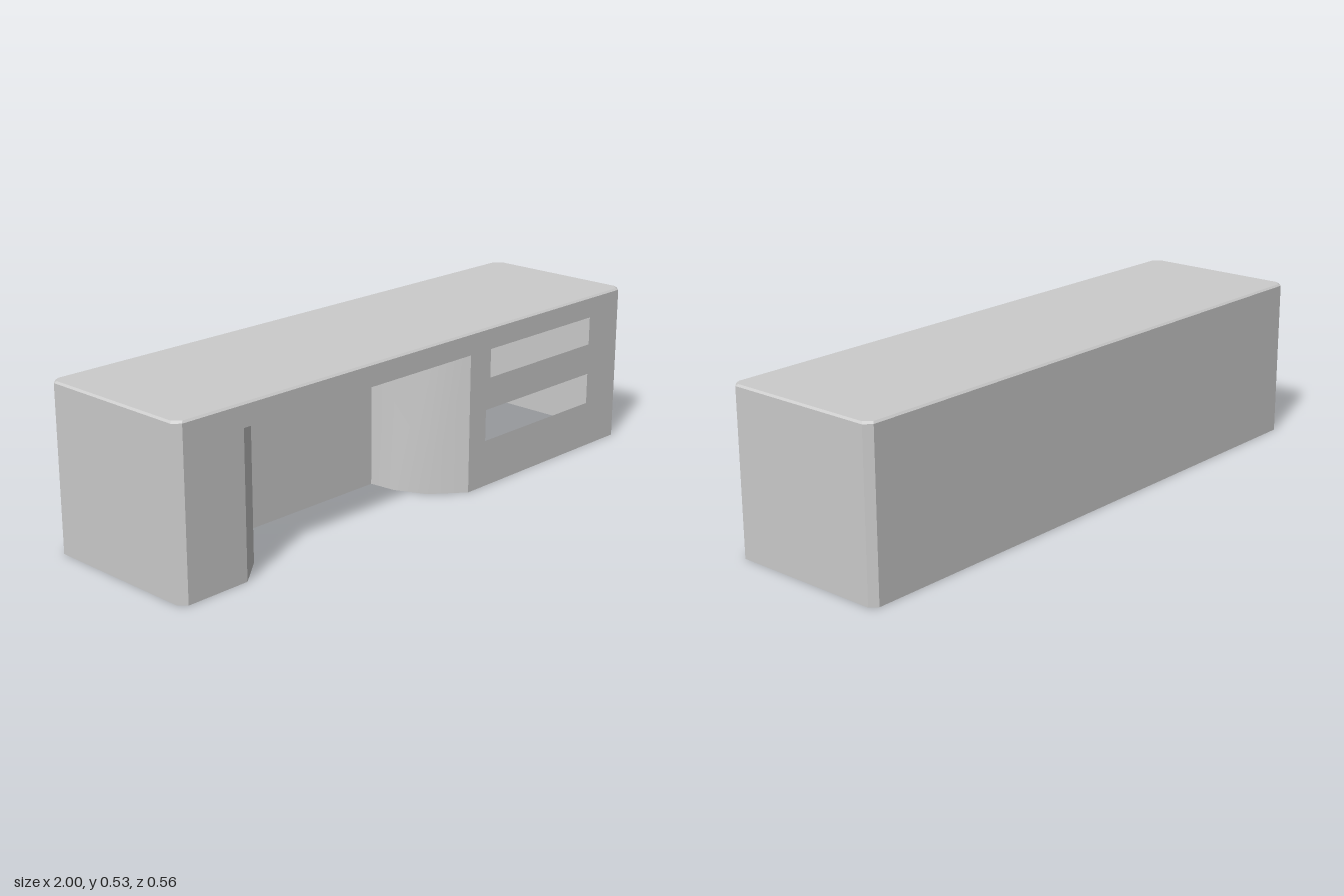
import * as THREE from 'three';

const W = 1, D = 0.278, TOP = 0.533, BEVEL = 0.006, CHAMFER = 0.022;
const WALL = TOP - BEVEL;      // height of the vertical walls
const RECESS_H = 0.46;         // height of the knee recess

const material = new THREE.MeshStandardMaterial({ color: 0xcccccc, side: THREE.DoubleSide });

function addMesh(group, name, geometry) {
  const mesh = new THREE.Mesh(geometry, material);
  mesh.name = name;
  group.add(mesh);
  return mesh;
}

// Chamfered rectangle in plan as [x, z], from front left round the back to front right
function outline(w, d, c) {
  return [
    [w - c, d], [w, d - c], [w, -d + c], [w - c, -d],
    [-w + c, -d], [-w, -d + c], [-w, d - c], [-w + c, d],
  ];
}

// Strip of quads between a lower and an upper row of [x, z] points
function strip(low, y0, high, y1, smooth = false) {
  const positions = [], index = [];
  low.forEach(([x, z], i) => {
    positions.push(x, y0, z, high[i][0], y1, high[i][1]);
    if (i < low.length - 1) {
      const a = 2 * i;
      index.push(a, a + 2, a + 3, a, a + 3, a + 1);
    }
  });
  let geometry = new THREE.BufferGeometry();
  geometry.setAttribute('position', new THREE.Float32BufferAttribute(positions, 3));
  geometry.setIndex(index);
  if (!smooth) geometry = geometry.toNonIndexed();
  geometry.computeVertexNormals();
  return geometry;
}

const shapeOf = (points) => new THREE.Shape(points.map(([x, y]) => new THREE.Vector2(x, y)));

export function createModel() {
  const model = new THREE.Group();
  model.name = 'receptionDesk';

  // Side and back walls with chamfered corners, open below
  const base = outline(W, D, CHAMFER);
  addMesh(model, 'sideAndBackWalls', strip(base, 0, base, WALL));

  // Bevelled rim and flat top
  const rim = outline(W - BEVEL, D - BEVEL, CHAMFER);
  addMesh(model, 'topBevel', strip([...base, base[0]], WALL, [...rim, rim[0]], TOP));
  const top = new THREE.ShapeGeometry(shapeOf(rim.map(([x, z]) => [x, -z])));
  addMesh(model, 'top', top.rotateX(-Math.PI / 2).translate(0, TOP, 0));

  // Front panel with the recess opening and two slots
  const left = -0.76, right = 0.2, edge = W - CHAMFER;
  const front = shapeOf([
    [-edge, 0], [left, 0], [left, RECESS_H], [right, RECESS_H],
    [right, 0], [edge, 0], [edge, WALL], [-edge, WALL],
  ]);
  for (const [y0, y1] of [[0.155, 0.26], [0.365, 0.46]]) {
    front.holes.push(shapeOf([[0.28, y0], [0.28, y1], [0.82, y1], [0.82, y0]]));
  }
  addMesh(model, 'frontPanel', new THREE.ShapeGeometry(front).translate(0, 0, D));

  // Recess: curved cheeks, back panel and ceiling
  const curve = [[0, 0], [0.103, 0.085], [0.15, 0.188], [0.16, 0.278]];
  const cheekA = curve.map(([a, b]) => [left + a, D - b]);
  const cheekB = curve.map(([a, b]) => [right - a, D - b]).reverse();
  const back = [cheekA[3], cheekB[0]];
  addMesh(model, 'recessRightCheek', strip(cheekA, 0, cheekA, RECESS_H, true));
  addMesh(model, 'recessLeftCheek', strip(cheekB, 0, cheekB, RECESS_H, true));
  addMesh(model, 'recessBack', strip(back, 0, back, RECESS_H));
  const ceiling = new THREE.ShapeGeometry(shapeOf([...cheekA, ...cheekB]));
  addMesh(model, 'recessCeiling', ceiling.rotateX(Math.PI / 2).translate(0, RECESS_H, 0));

  return model;
}
